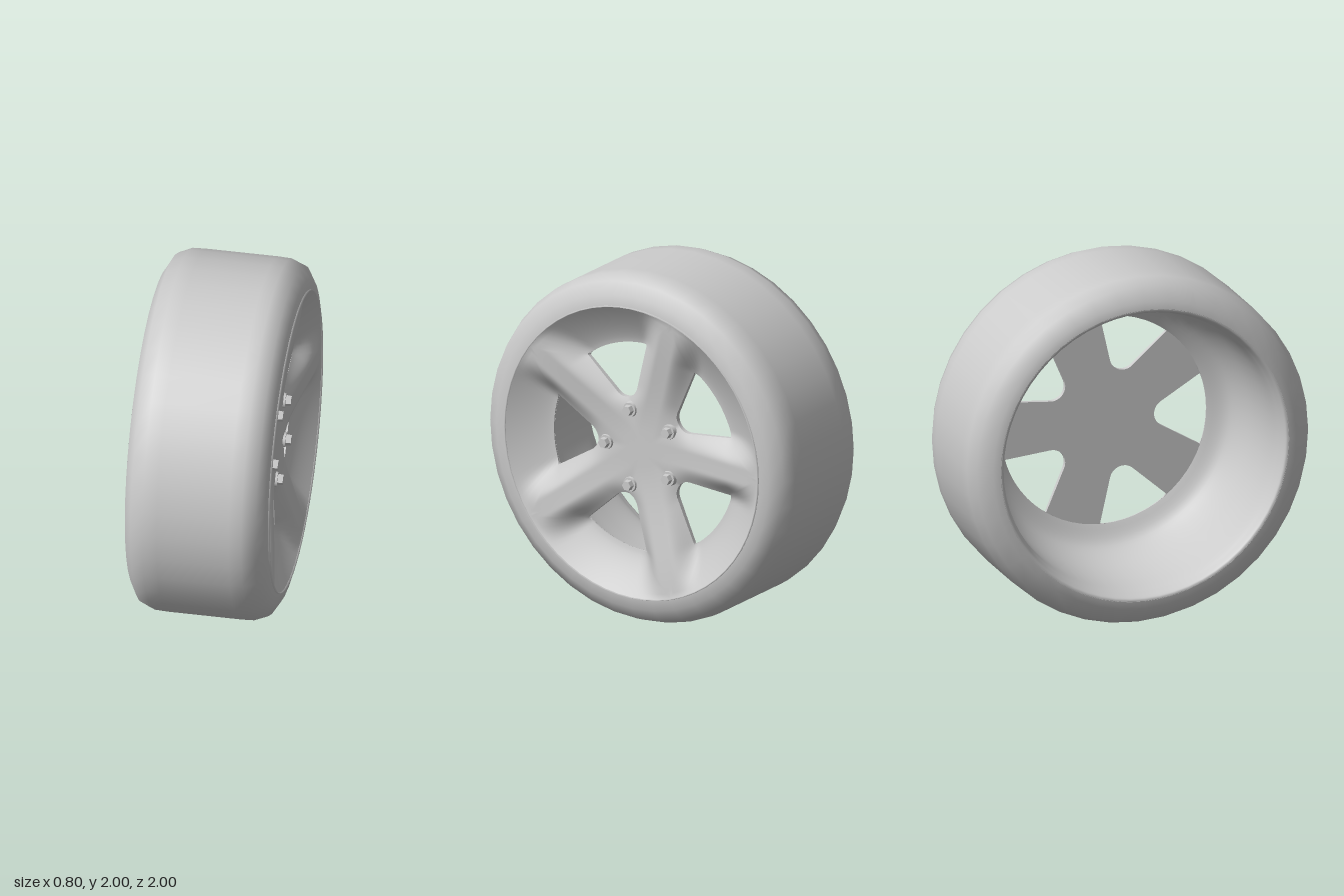
import * as THREE from 'three';
import { mergeVertices, toCreasedNormals } from 'three/addons/utils/BufferGeometryUtils.js';

const SPOKES = 5;
const STEP = (Math.PI * 2) / SPOKES;
const HALF = STEP / 2;
const BACK = 0.255; // plane of the spoke backs
const { smoothstep, lerp, degToRad } = THREE.MathUtils;

const material = new THREE.MeshStandardMaterial({ color: 0xcccccc, side: THREE.DoubleSide });

function addMesh(parent, name, geometry) {
  const mesh = new THREE.Mesh(geometry, material);
  mesh.name = name;
  parent.add(mesh);
  return mesh;
}

// Ring turned about the wheel axis (x) from [radius, x] points
function turned(points, segments) {
  const g = new THREE.LatheGeometry(points.map(([r, x]) => new THREE.Vector2(r, x)), segments);
  return g.rotateZ(-Math.PI / 2);
}

// Pairs of points around one window: its outline, and the sector edge outside it
function windowRing(rim) {
  const half = [];
  const onSpoke = (d) => [d * Math.cos(HALF), d * Math.sin(HALF)];
  const corner = degToRad(20);
  const arcEnd = [0.375 + 0.08 * Math.cos(degToRad(120)), 0.08 * Math.sin(degToRad(120))];
  const cornerPoint = [0.6 * Math.cos(corner), 0.6 * Math.sin(corner)];
  for (let i = 0; i < 8; i++) { // rounded inner end
    const a = degToRad(180 - (60 * i) / 8);
    half.push([[0.375 + 0.08 * Math.cos(a), 0.08 * Math.sin(a)], onSpoke((0.28 * i) / 8)]);
  }
  for (let i = 0; i < 20; i++) { // straight side along the spoke
    const t = i / 20;
    half.push([
      [lerp(arcEnd[0], cornerPoint[0], t), lerp(arcEnd[1], cornerPoint[1], t)],
      onSpoke(lerp(0.28, rim, t)),
    ]);
  }
  for (let i = 0; i <= 14; i++) { // outer arc
    const a = corner * (1 - i / 14), b = HALF * (1 - i / 14);
    half.push([[0.6 * Math.cos(a), 0.6 * Math.sin(a)], [rim * Math.cos(b), rim * Math.sin(b)]]);
  }
  const flip = ([u, v]) => [u, -v];
  const lower = half.map(([w, o]) => [flip(w), flip(o)]);
  return [...lower, ...half.slice(0, -1).reverse()];
}

// Outer surface: dished floor with raised spokes
function frontHeight(u, v) {
  const r = Math.hypot(u, v);
  const off = HALF - Math.abs(Math.atan2(v, u));
  const side = r * Math.abs(Math.sin(off));
  const dish = Math.max(0, (r - 0.6) / 0.24);
  const floor = lerp(0.29, 0.263, smoothstep(r, 0.22, 0.36)) + 0.135 * Math.pow(dish, 1.3);
  const spoke = 0.3 + 0.095 * smoothstep(r, 0.1, 0.95);
  const raise = 1 - smoothstep(side, 0.045, 0.2);
  return lerp(floor, Math.max(spoke, floor), raise);
}

// Builds all five sectors; place(pair, t) gives [u, v, x] in the window's own frame
function sectors(ring, rows, place, reverse) {
  const pos = [], index = [];
  for (let k = 0; k < SPOKES; k++) {
    const turn = HALF + k * STEP, c = Math.cos(turn), s = Math.sin(turn);
    const base = pos.length / 3;
    for (const pair of ring) {
      for (let j = 0; j <= rows; j++) {
        const [u, v, x] = place(pair, j / rows);
        pos.push(x, u * s + v * c, -(u * c - v * s));
      }
    }
    for (let i = 0; i < ring.length - 1; i++) {
      for (let j = 0; j < rows; j++) {
        const a = base + i * (rows + 1) + j, b = a + 1;
        const d = a + rows + 1, e = d + 1;
        if (reverse) index.push(a, e, b, a, d, e);
        else index.push(a, b, e, a, e, d);
      }
    }
  }
  const g = new THREE.BufferGeometry();
  g.setAttribute('position', new THREE.Float32BufferAttribute(pos, 3));
  g.setIndex(index);
  const merged = mergeVertices(g, 1e-4);
  merged.computeVertexNormals();
  return merged;
}

const sheet = (rim, rows, height, reverse) =>
  sectors(windowRing(rim), rows, ([w, o], t) => {
    const u = lerp(w[0], o[0], t), v = lerp(w[1], o[1], t);
    return [u, v, height(u, v)];
  }, reverse);

export function createModel() {
  const wheel = new THREE.Group();
  wheel.name = 'wheel';
  wheel.position.y = 1;

  // Tyre with softly bevelled shoulders
  addMesh(wheel, 'tyre', turned([
    [0.84, -0.402], [0.885, -0.396], [0.965, -0.352], [0.997, -0.28], [1, -0.2],
    [1, 0.2], [0.997, 0.27], [0.968, 0.343], [0.9, 0.385], [0.84, 0.392],
  ], 40));

  // Rim barrel: rear lip, then one smooth sweep up to the windows
  const sweep = new THREE.SplineCurve([
    [0.842, -0.402], [0.825, -0.395], [0.812, -0.36], [0.798, -0.3], [0.788, -0.12],
    [0.765, 0.05], [0.705, 0.19], [0.6, BACK],
  ].map(([r, x]) => new THREE.Vector2(r, x)));
  addMesh(wheel, 'barrel', turned(sweep.getPoints(40).map((p) => [p.x, p.y]).reverse(), 60));
  addMesh(wheel, 'frontLip', turned([[0.832, 0.39], [0.836, 0.402], [0.841, 0.39]], 60));

  // Spoked face
  const face = new THREE.Group();
  face.name = 'spokedFace';
  wheel.add(face);
  addMesh(face, 'spokeFront', sheet(0.835, 16, frontHeight, false));
  addMesh(face, 'spokeBack', sheet(0.605, 4, () => BACK, true));
  addMesh(face, 'windowWalls', sectors(windowRing(0.835), 1, ([w], t) =>
    [w[0], w[1], lerp(BACK, frontHeight(...w), t)], false));

  // Lug nuts between the spokes
  for (let k = 0; k < SPOKES; k++) {
    const a = HALF + k * STEP;
    const nut = new THREE.Group();
    nut.name = 'lugNut';
    nut.position.set(0.297, 0.228 * Math.sin(a), -0.228 * Math.cos(a));
    nut.rotation.z = -Math.PI / 2;
    addMesh(nut, 'nutSeat', toCreasedNormals(new THREE.CylinderGeometry(0.04, 0.046, 0.03, 20), 0.6));
    const hex = toCreasedNormals(new THREE.CylinderGeometry(0.028, 0.032, 0.04, 6), 0.5);
    addMesh(nut, 'nutHead', hex).position.y = 0.025;
    wheel.add(nut);
  }

  const model = new THREE.Group();
  model.name = 'carWheel';
  model.add(wheel);
  return model;
}
